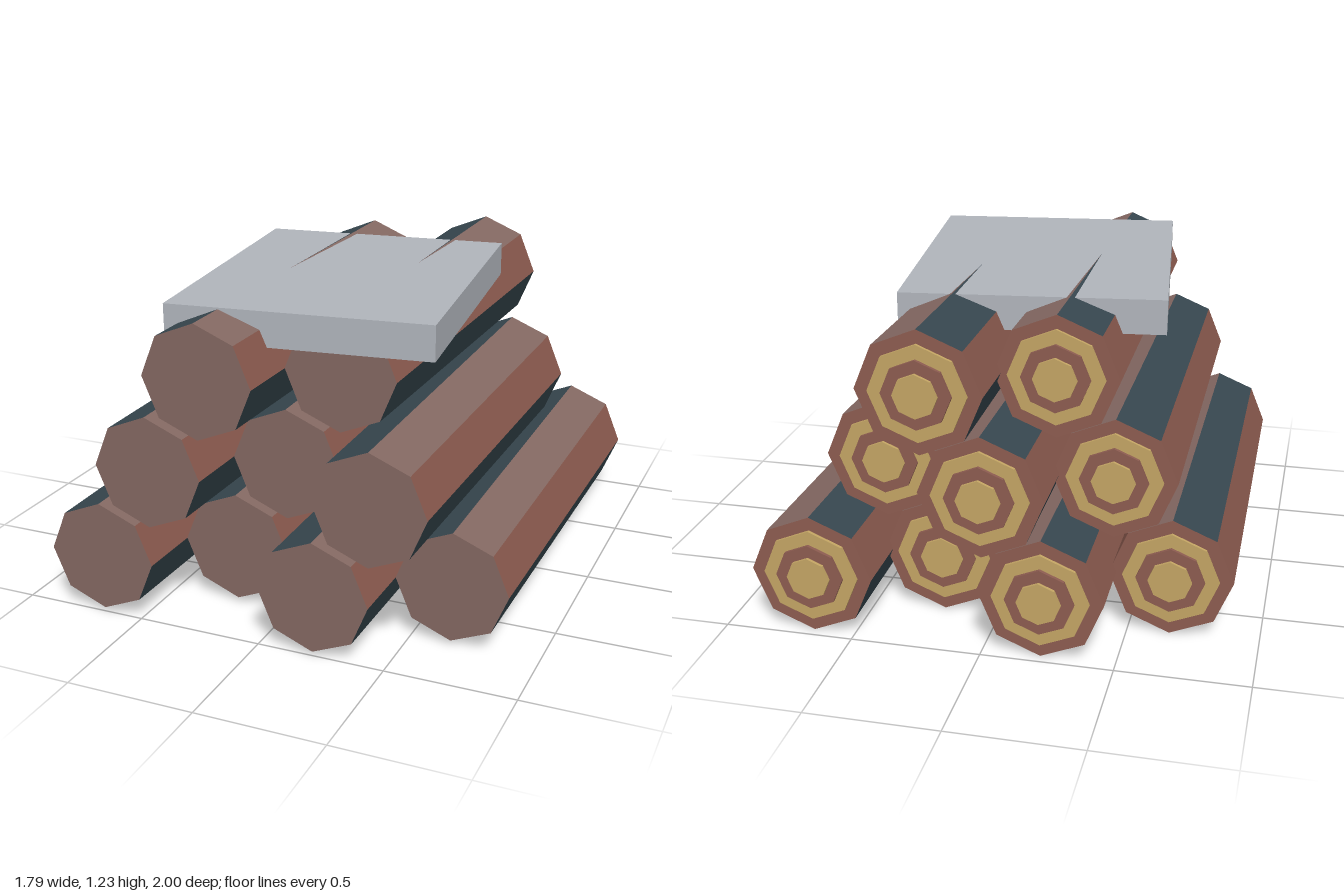
import * as THREE from 'three';

const material = (name, color) => {
  const m = new THREE.MeshStandardMaterial({ color, flatShading: true });
  m.name = name;
  return m;
};

export function createModel() {
  const redBark = material('redBark', 0x8d5c50);
  const paleBark = material('paleBark', 0x846862);
  const tealBark = material('tealBark', 0x37474f);
  const goldWood = material('goldWood', 0xc4a564);
  const slate = material('greySlab', 0xb0b4bb);
  const bark = [redBark, paleBark, tealBark];

  const length = 1.69, rFront = 0.219, rBack = 0.235;

  // Octagonal tapered log: one bark colour per side, starting underneath
  const logGeometry = new THREE.CylinderGeometry(rFront, rBack, length, 8);
  const [, front, back] = logGeometry.groups.map((g) => ({ ...g }));
  logGeometry.clearGroups();
  [1, 2, 0, 1, 2, 0, 2, 0].forEach((m, i) => logGeometry.addGroup(i * 6, 6, m));
  logGeometry.addGroup(front.start, front.count, 1);
  logGeometry.addGroup(back.start, back.count, 0);
  logGeometry.rotateX(Math.PI / 2);

  // Stepped growth rings on the back end: radius, height, material
  const rings = [
    [0.183, 0.013, goldWood],
    [0.13, 0.027, redBark],
    [0.083, 0.04, goldWood],
  ].map(([r, h, mat]) => {
    const geometry = new THREE.CylinderGeometry(r, r, h, 8);
    geometry.rotateX(Math.PI / 2);
    geometry.translate(0, 0, -length / 2 - h / 2);
    return [geometry, mat];
  });

  const model = new THREE.Group();
  model.name = 'logPile';

  const addLog = (x, y, frontZ) => {
    const log = new THREE.Group();
    log.name = 'log';
    const body = new THREE.Mesh(logGeometry, bark);
    body.name = 'logBody';
    log.add(body);
    for (const [geometry, mat] of rings) {
      const ring = new THREE.Mesh(geometry, mat);
      ring.name = 'growthRing';
      log.add(ring);
    }
    log.position.set(x, y, frontZ - length / 2);
    model.add(log);
  };

  // Three stacked rows; each log sits forward (1) or set back (0)
  const rows = [[1, 0, 1, 0], [1, 0, 1], [1, 0]];
  rows.forEach((row, r) => {
    row.forEach((forward, i) => {
      addLog((i - (row.length - 1) / 2) * 0.44, rBack + r * 0.381, forward ? 1 : 0.73);
    });
  });

  // Slab lying askew on top
  const slab = new THREE.Mesh(new THREE.BoxGeometry(1.015, 0.135, 1.25), slate);
  slab.name = 'topSlab';
  slab.position.set(0, 1.2235 - 0.135 / 2, 0.16);
  slab.rotation.y = 0.118;
  model.add(slab);

  return model;
}
